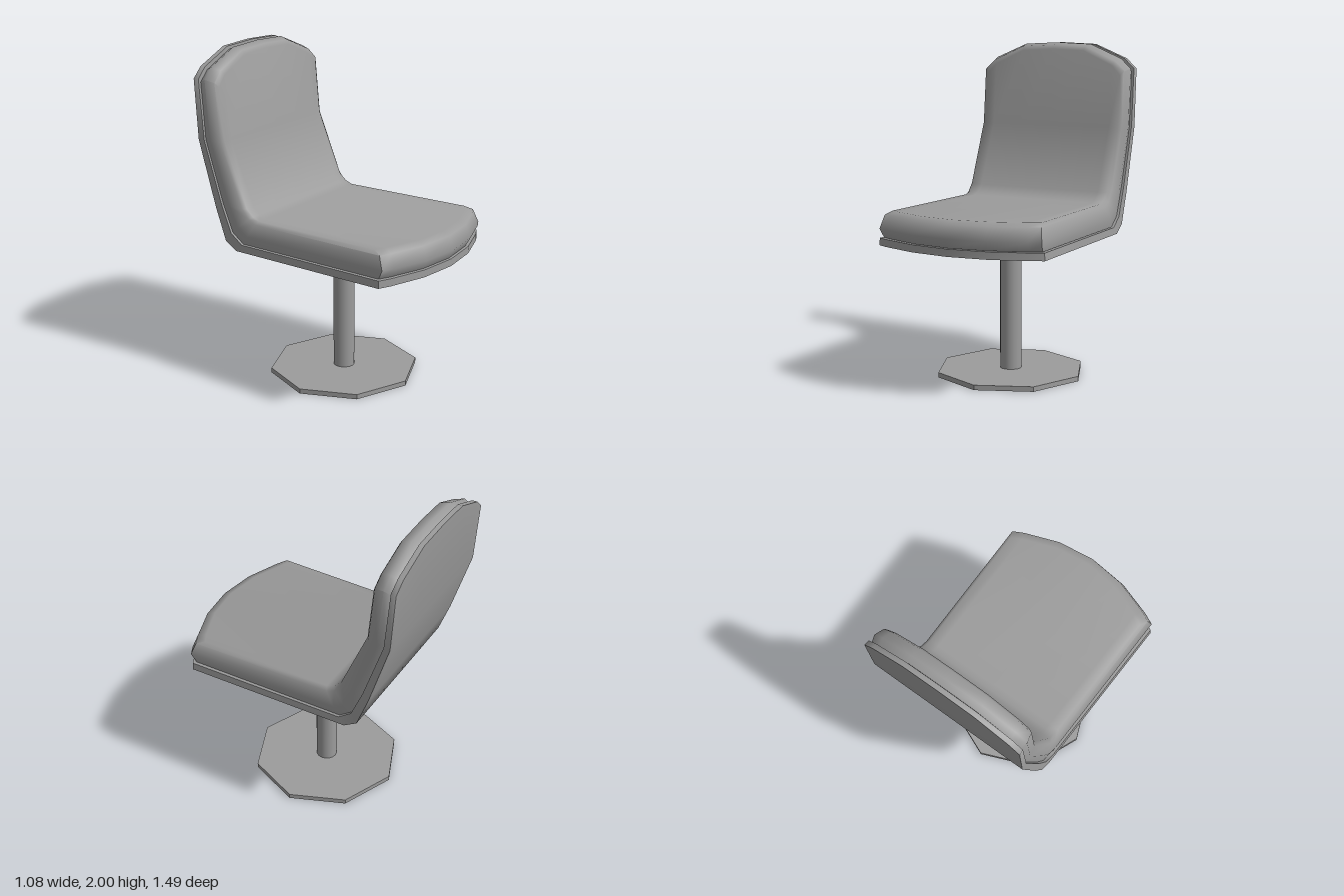
import * as THREE from 'three';
import { toCreasedNormals } from 'three/addons/utils/BufferGeometryUtils.js';

const grey = 0x9c9c9c;
const material = new THREE.MeshStandardMaterial({ color: grey });
const columns = [-1, -0.87, -0.45, 0, 0.45, 0.87, 1];

// Bent slab between two [z, y] paths. Each layer is [height fraction, side inset,
// front inset, top inset]; the front edge is bowed in plan and the top edge is arched.
function bentSlab(lower, upper, layers, halfWidth, crease) {
  const rows = lower.length, cols = columns.length;
  const positions = [], index = [];

  for (const [h, side, front, top] of layers) {
    const path = lower.map((p, i) => new THREE.Vector2(...p).lerp(new THREE.Vector2(...upper[i]), h));
    for (let i = 0; i < rows; i++) {
      for (const u of columns) {
        const p = path[i].clone();
        const a = Math.abs(u);
        if (i === 0 || i === rows - 1) {
          const drop = i === 0 ? 0.14 * a ** 2 + front : 0.16 * a ** 3.5 + top;
          const inward = path[i === 0 ? 1 : rows - 2].clone().sub(p).normalize();
          p.addScaledVector(inward, drop);
        }
        positions.push(u * (halfWidth(p.x) - side), p.y, p.x);
      }
    }
  }

  const id = (k, i, j) => (k * rows + i) * cols + j;
  const quad = (a, b, c, d) => index.push(a, b, c, a, c, d);
  const last = layers.length - 1;

  // Underside and upper face
  for (let i = 0; i < rows - 1; i++) {
    for (let j = 0; j < cols - 1; j++) {
      quad(id(last, i, j), id(last, i, j + 1), id(last, i + 1, j + 1), id(last, i + 1, j));
      quad(id(0, i, j), id(0, i + 1, j), id(0, i + 1, j + 1), id(0, i, j + 1));
    }
  }

  // Rim joining the layers
  const rim = [];
  for (let j = 0; j < cols - 1; j++) rim.push([0, j]);
  for (let i = 0; i < rows - 1; i++) rim.push([i, cols - 1]);
  for (let j = cols - 1; j > 0; j--) rim.push([rows - 1, j]);
  for (let i = rows - 1; i > 0; i--) rim.push([i, 0]);
  for (let k = 0; k < last; k++) {
    rim.forEach((p, n) => {
      const q = rim[(n + 1) % rim.length];
      quad(id(k, ...p), id(k, ...q), id(k + 1, ...q), id(k + 1, ...p));
    });
  }

  const geometry = new THREE.BufferGeometry();
  geometry.setAttribute('position', new THREE.Float32BufferAttribute(positions, 3));
  geometry.setIndex(index);
  return toCreasedNormals(geometry, crease);
}

export function createModel() {
  const chair = new THREE.Group();
  chair.name = 'swivelChair';
  const add = (name, geometry, mat = material) => {
    const mesh = new THREE.Mesh(geometry, mat);
    mesh.name = name;
    chair.add(mesh);
    return mesh;
  };

  // Thin outer shell of seat and back
  const shellOuter = [[0.73, 0.838], [-0.44, 0.838], [-0.52, 0.888], [-0.59, 1.08], [-0.71, 1.48], [-0.742, 2]];
  const shellInner = [[0.73, 0.882], [-0.40, 0.882], [-0.48, 0.94], [-0.55, 1.11], [-0.67, 1.48], [-0.712, 2]];
  const shellLayers = [[0, 0, 0, 0], [1, 0.004, 0, 0]];
  add('shell', bentSlab(shellOuter, shellInner, shellLayers, (z) => 0.527 + 0.021 * z, 0.9));

  // Padded cushion with a rounded rim
  const padBack = [[0.745, 0.884], [-0.40, 0.884], [-0.48, 0.942], [-0.55, 1.11], [-0.67, 1.48], [-0.708, 2]];
  const padFront = [[0.745, 1.037], [-0.30, 1.037], [-0.345, 1.055], [-0.39, 1.095], [-0.55, 1.48], [-0.597, 2]];
  const padLayers = [[0, 0.01, 0.03, 0.02], [0.36, 0, 0, 0], [0.88, 0.018, 0.03, 0.015], [1, 0.04, 0.08, 0.04]];
  add('cushion', bentSlab(padBack, padFront, padLayers, (z) => 0.516 + 0.018 * z, 0.95));

  // Hollow pedestal post
  const post = add('post', new THREE.CylinderGeometry(0.065, 0.065, 0.84, 16, 1, true),
    new THREE.MeshStandardMaterial({ color: grey, side: THREE.DoubleSide }));
  post.position.set(0, 0.42, -0.025);

  // Octagonal floor plate with a hole for the post
  const plate = new THREE.Shape();
  for (let i = 0; i < 8; i++) {
    const a = (i * Math.PI) / 4;
    plate[i ? 'lineTo' : 'moveTo'](0.457 * Math.cos(a), 0.457 * Math.sin(a));
  }
  plate.closePath();
  plate.holes.push(new THREE.Path().absarc(0, 0, 0.064, 0, Math.PI * 2, true));
  const base = add('basePlate', new THREE.ExtrudeGeometry(plate, { depth: 0.03, bevelEnabled: false, curveSegments: 8 }));
  base.rotation.x = -Math.PI / 2;
  base.position.z = -0.025;

  return chair;
}
